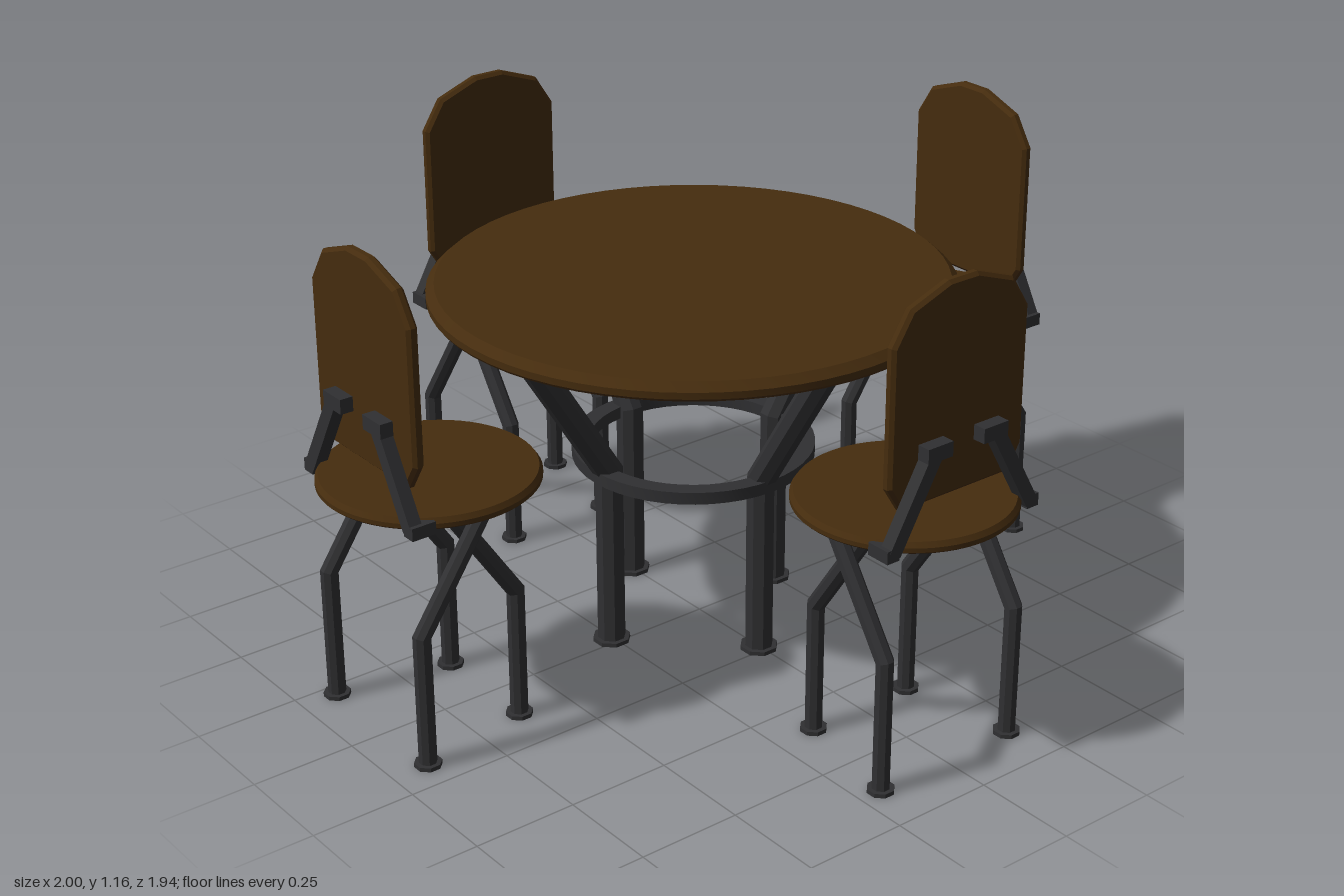
import * as THREE from 'three';
import { toCreasedNormals } from 'three/addons/utils/BufferGeometryUtils.js';

const wood = new THREE.MeshStandardMaterial({ color: 0x452c0e });
wood.name = 'dark wood';
const steel = new THREE.MeshStandardMaterial({ color: 0x303032 });
steel.name = 'dark steel';

function add(parent, name, geometry, material, x = 0, y = 0, z = 0) {
  const mesh = new THREE.Mesh(geometry, material);
  mesh.name = name;
  mesh.position.set(x, y, z);
  parent.add(mesh);
  return mesh;
}

// Solid of revolution with sharp profile corners; profile runs bottom to top
function turned(profile, segments) {
  const points = profile.map(([r, y]) => new THREE.Vector2(r, y));
  return toCreasedNormals(new THREE.LatheGeometry(points, segments), 0.4);
}

// Round board with a chamfered upper edge
function board(r, bottom, top, chamfer) {
  const h = top - bottom;
  return turned([[0, bottom], [r - 0.004, bottom], [r, bottom + h * 0.15],
    [r, bottom + h * 0.55], [r - chamfer, top], [0, top]], 64);
}

// Eight-sided leg with mitred bends, following [z, y] points upwards; ends are cut level
function bentLeg(path, radius) {
  const sides = 8, vertices = [], index = [];
  const perp = (a, b) => {
    const d = new THREE.Vector2(b[0] - a[0], b[1] - a[1]).normalize();
    return new THREE.Vector2(d.y, -d.x);
  };
  path.forEach((p, j) => {
    const before = j > 0 ? perp(path[j - 1], p) : null;
    const after = j < path.length - 1 ? perp(p, path[j + 1]) : null;
    const cut = before && after ? before.clone().add(after).normalize() : new THREE.Vector2(1, 0);
    const reach = radius / cut.dot(before || after);
    for (let i = 0; i < sides; i++) {
      const a = (i + 0.5) / sides * Math.PI * 2;
      const s = reach * Math.sin(a);
      vertices.push(radius * Math.cos(a), p[1] + cut.y * s, p[0] + cut.x * s);
    }
  });
  const last = (path.length - 1) * sides;
  for (let j = 0; j < last; j += sides) {
    for (let i = 0; i < sides; i++) {
      const a = j + i, b = j + (i + 1) % sides;
      index.push(a, a + sides, b, b, a + sides, b + sides);
    }
  }
  for (let i = 1; i < sides - 1; i++) {
    index.push(0, i, i + 1, last, last + i + 1, last + i);
  }
  const geometry = new THREE.BufferGeometry();
  geometry.setAttribute('position', new THREE.Float32BufferAttribute(vertices, 3));
  geometry.setIndex(index);
  const flat = geometry.toNonIndexed();
  flat.computeVertexNormals();
  return flat;
}

function footPad(radius) {
  return toCreasedNormals(new THREE.CylinderGeometry(radius, radius, 0.01, 8).rotateY(Math.PI / 8), 0.4);
}

// Backrest panel with clipped corners and a bevelled rim
function backrestPanel() {
  const half = [[0.155, 0.67], [0.193, 0.73], [0.193, 1.05], [0.145, 1.125], [0.04, 1.163]];
  const outline = [...half, ...half.map(([x, y]) => [-x, y]).reverse()];
  const shape = new THREE.Shape(outline.map(([x, y]) => new THREE.Vector2(x, y)));
  const bevel = 0.008;
  return new THREE.ExtrudeGeometry(shape, {
    depth: 0.028 - 2 * bevel, bevelEnabled: true, bevelSegments: 1,
    bevelSize: bevel, bevelThickness: bevel, bevelOffset: -bevel,
  }).translate(0, 0, 0.128 + bevel);
}

// Chair whose back lies towards its local +z
function createChair() {
  const chair = new THREE.Group();
  chair.name = 'chair';
  add(chair, 'seat', board(0.252, 0.589, 0.615, 0.008), wood);
  add(chair, 'seatPlate', turned([[0, 0.584], [0.238, 0.584], [0.238, 0.59]], 48), steel);
  add(chair, 'backrest', backrestPanel(), wood);

  const mid = 0.018;
  for (const side of [-1, 1]) {
    // Crossing legs: the outer pair stands at the back, the inner pair at the front
    for (const [x, dir, name] of [[0.192, 1, 'rearLeg'], [0.142, -1, 'frontLeg']]) {
      const foot = mid + dir * 0.141;
      const path = [[foot, 0], [foot, 0.325], [mid - dir * 0.035, 0.587]];
      add(chair, name, bentLeg(path, 0.021), steel, side * x);
      add(chair, name + 'Pad', footPad(0.032), steel, side * x, 0.005, foot);
    }
    // Slanted backrest brace with its clamp and mount
    const low = new THREE.Vector2(side * 0.2, 0.595);
    const high = new THREE.Vector2(side * 0.085, 0.8);
    const d = high.clone().sub(low);
    const brace = add(chair, 'backBrace', new THREE.BoxGeometry(0.034, d.length(), 0.031), steel,
      (low.x + high.x) / 2, (low.y + high.y) / 2, 0.172);
    brace.rotation.z = Math.atan2(d.y, d.x) - Math.PI / 2;
    add(chair, 'braceClamp', new THREE.BoxGeometry(0.07, 0.035, 0.034), steel, side * 0.08, 0.798, 0.171);
    add(chair, 'braceMount', new THREE.BoxGeometry(0.034, 0.03, 0.06), steel, side * 0.204, 0.596, 0.157);
  }
  return chair;
}

function createTable() {
  const table = new THREE.Group();
  table.name = 'table';
  add(table, 'tableTop', board(0.622, 0.845, 0.885, 0.02), wood);
  // Ring tying the four legs together
  add(table, 'legRing', turned([[0.25, 0.432], [0.292, 0.432], [0.292, 0.462],
    [0.25, 0.462], [0.25, 0.432]], 48), steel);
  for (let k = 0; k < 4; k++) {
    const arm = new THREE.Group();
    arm.name = 'tableLeg';
    arm.rotation.y = k * Math.PI / 2;
    add(arm, 'legPost', bentLeg([[0.252, 0], [0.252, 0.45], [0.502, 0.848]], 0.034), steel);
    add(arm, 'legPad', footPad(0.046), steel, 0, 0.005, 0.252);
    table.add(arm);
  }
  return table;
}

export function createModel() {
  const model = new THREE.Group();
  model.name = 'diningSet';
  const table = createTable();
  table.position.set(-0.003, 0, -0.02);
  model.add(table);

  // Four chairs facing the table
  const places = [[0, 0.716], [0.749, -0.02], [0, -0.716], [-0.749, -0.02]];
  places.forEach(([x, z], k) => {
    const chair = createChair();
    chair.position.set(x, 0, z);
    chair.rotation.y = k * Math.PI / 2;
    model.add(chair);
  });
  return model;
}
